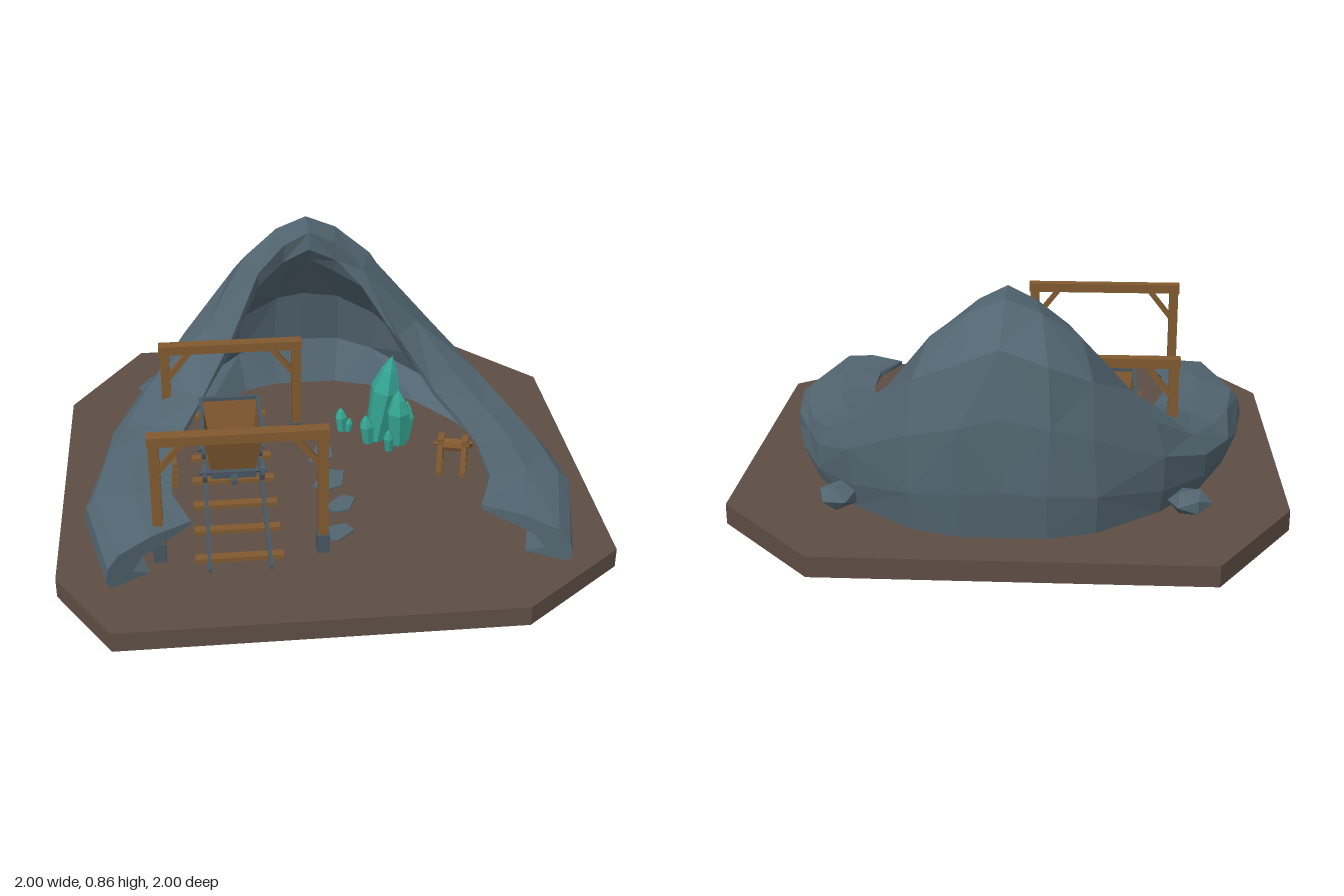
import * as THREE from 'three';

const mat = (name, color, side = THREE.FrontSide) => {
  const m = new THREE.MeshStandardMaterial({ color, flatShading: true, side });
  m.name = name;
  return m;
};

export function createModel() {
  const earth = mat('earth', 0x5e4e44);
  const rock = mat('rock', 0x526570, THREE.DoubleSide);
  const wood = mat('wood', 0x80592f, THREE.DoubleSide);
  const metal = mat('metal', 0x475661);
  const crystal = mat('crystal', 0x35a593);

  const root = new THREE.Group();
  root.name = 'mineDiorama';
  const G = 0.075; // ground level

  let seed = 7;
  const rnd = () => ((seed = (seed * 16807) % 2147483647) / 2147483647) - 0.5;

  const group = (name, parent = root) => {
    const g = new THREE.Group();
    g.name = name;
    parent.add(g);
    return g;
  };
  const add = (name, geo, material, parent = root, x = 0, y = 0, z = 0) => {
    const m = new THREE.Mesh(geo, material);
    m.name = name;
    m.position.set(x, y, z);
    parent.add(m);
    return m;
  };
  const box = (name, w, h, d, x, y, z, material, parent) =>
    add(name, new THREE.BoxGeometry(w, h, d), material, parent, x, y, z);
  // square bar between two points
  const bar = (name, a, b, t, material, parent) => {
    const p = new THREE.Vector3(...a), q = new THREE.Vector3(...b);
    const m = box(name, t, p.distanceTo(q), t, 0, 0, 0, material, parent);
    m.position.copy(p).add(q).multiplyScalar(0.5);
    m.quaternion.setFromUnitVectors(new THREE.Vector3(0, 1, 0), q.sub(p).normalize());
    return m;
  };
  // flat slab from an [x, z] outline
  const slab = (pts, depth) => {
    const shape = new THREE.Shape(pts.map(([x, z]) => new THREE.Vector2(x, -z)));
    return new THREE.ExtrudeGeometry(shape, { depth, bevelEnabled: false }).rotateX(-Math.PI / 2);
  };

  // Ground slab
  add('ground', slab([[-0.72, -1], [0.64, -1], [1, -0.6], [1, 0.7], [0.62, 1], [-0.8, 1], [-1, 0.68], [-1, -0.55]], G), earth);

  // Cave wall: an overhanging section swept round a horseshoe
  // section: [0 = lip .. 1 = outside, height fraction]
  const section = [[0.95, 0], [1, 0.22], [0.97, 0.54], [0.84, 0.82], [0.45, 1], [0, 1],
    [0, 0.9], [0.12, 0.82], [0.58, 0.54], [0.7, 0.22], [0.5, 0]];
  // half of the stations: [outer x, z, lip x, z, top y]
  const half = [
    [0.15, -0.845, 0.1, -0.465, 0.81], [0.32, -0.79, 0.21, -0.42, 0.71], [0.55, -0.6, 0.34, -0.28, 0.47],
    [0.71, -0.37, 0.46, -0.13, 0.31], [0.81, -0.12, 0.54, 0.02, 0.255], [0.87, 0.1, 0.58, 0.2, 0.24],
    [0.91, 0.36, 0.585, 0.42, 0.235], [0.82, 0.76, 0.52, 0.59, 0.225]];
  const stations = [
    ...half.map(([a, b, c, d, y]) => [-a, b, -c, d, y]).reverse(),
    [0, -0.845, 0, -0.465, 0.86], ...half];
  const rows = stations.map(([ox, oz, ix, iz, top], i) => section.map(([u, v], j) => {
    const edge = i === 0 || i === stations.length - 1 || v === 0 || v === 1 || u === 1;
    const k = edge ? 0 : 0.028;
    return [ix + (ox - ix) * u + rnd() * k, G + (top - G) * v + rnd() * k * 0.6, iz + (oz - iz) * u + rnd() * k];
  }));
  const pos = [];
  for (let i = 0; i < rows.length - 1; i++) {
    for (let j = 0; j < section.length - 1; j++) {
      const a = rows[i][j], b = rows[i + 1][j], c = rows[i + 1][j + 1], d = rows[i][j + 1];
      if ((i + j) % 2) pos.push(...a, ...d, ...c, ...a, ...c, ...b);
      else pos.push(...a, ...d, ...b, ...d, ...c, ...b);
    }
  }
  const caps = THREE.ShapeUtils.triangulateShape(section.map(([u, v]) => new THREE.Vector2(u, v)), []);
  for (const row of [rows[0], rows[rows.length - 1]]) {
    for (const f of caps) for (const k of f) pos.push(...row[k]);
  }
  const wallGeo = new THREE.BufferGeometry();
  wallGeo.setAttribute('position', new THREE.Float32BufferAttribute(pos, 3));
  wallGeo.computeVertexNormals();
  add('caveWall', wallGeo, rock);

  // Boulders behind the wall
  for (const [x, z, r] of [[-0.645, -0.585, 0.4], [0.595, -0.595, 1.5]]) {
    const b = add('boulder', new THREE.IcosahedronGeometry(0.08, 0), rock, root, x, 0.118, z);
    b.scale.set(1, 0.58, 0.95);
    b.rotation.y = r;
  }

  // Flat stepping stones
  const stone = slab([[-0.06, 0.035], [-0.035, -0.01], [0.01, -0.065], [0.06, -0.045], [0.04, 0.04], [-0.01, 0.06]], 0.007);
  for (const [x, z, r, s] of [[0, -0.045, 0.25, 1], [0.015, 0.145, 0.05, 1.15], [0.04, 0.315, -0.15, 0.95], [0, 0.495, -0.6, 1]]) {
    const m = add('steppingStone', stone, rock, root, x, G, z);
    m.rotation.y = r;
    m.scale.set(s, 1, s);
  }

  // Track
  const track = group('track');
  for (const z of [-0.39, -0.22, -0.055, 0.11, 0.28, 0.445, 0.62]) box('sleeper', 0.315, 0.016, 0.034, -0.353, G + 0.008, z, wood, track);
  for (const x of [-0.46, -0.245]) box('rail', 0.014, 0.018, 1.13, x, 0.1, 0.155, metal, track);

  // Timber frames
  const frame = (x0, x1, z, top, over) => {
    const g = group('timberFrame');
    const mid = (x0 + x1) / 2, under = top - 0.036;
    box('crossBeam', x1 - x0 + over, 0.036, 0.045, mid, top - 0.018, z, wood, g);
    for (const [x, s] of [[x0, 1], [x1, -1]]) {
      box('post', 0.036, under - G, 0.04, x, (under + G) / 2, z, wood, g);
      box('postFoot', 0.046, 0.075, 0.05, x, G + 0.0375, z, metal, g);
      bar('brace', [x + s * 0.01, under - 0.11, z], [x + s * 0.1, under + 0.004, z], 0.02, wood, g);
    }
  };
  frame(-0.635, -0.052, 0.592, 0.585, 0.045);
  frame(-0.597, -0.08, -0.202, 0.52, 0.045);

  // Mine cart
  const cart = group('mineCart');
  cart.position.set(-0.352, 0, 0.065);
  const body = add('cartBody', new THREE.CylinderGeometry(Math.SQRT1_2, Math.SQRT1_2 * 0.75, 0.15, 4, 1, true, Math.PI / 4), wood, cart, 0, 0.252, 0);
  body.scale.set(0.222, 1, 0.325);
  box('cartFloor', 0.168, 0.012, 0.244, 0, 0.183, 0, wood, cart);
  for (const s of [-1, 1]) {
    box('cartRim', 0.016, 0.014, 0.34, s * 0.112, 0.328, 0, metal, cart);
    box('cartRim', 0.24, 0.014, 0.016, 0, 0.328, s * 0.163, metal, cart);
    box('chassisBeam', 0.022, 0.028, 0.28, s * 0.075, 0.164, 0, metal, cart);
    box('chassisEnd', 0.17, 0.028, 0.022, 0, 0.164, s * 0.13, metal, cart);
    box('coupler', 0.024, 0.018, 0.05, 0, 0.16, s * 0.165, metal, cart);
    const axle = add('axle', new THREE.CylinderGeometry(0.01, 0.01, 0.26, 6), metal, cart, 0, 0.147, s * 0.085);
    axle.rotation.z = Math.PI / 2;
    for (const t of [-1, 1]) {
      const w = add('wheel', new THREE.CylinderGeometry(0.04, 0.04, 0.018, 10), metal, cart, t * 0.11, 0.147, s * 0.085);
      w.rotation.z = Math.PI / 2;
    }
  }

  // Slatted crate
  const crate = group('crate');
  crate.position.set(-0.632, G, 0.09);
  crate.rotation.y = 0.08;
  box('crateCore', 0.11, 0.108, 0.1, 0, 0.055, 0, wood, crate);
  for (let i = 0; i < 4; i++) box('crateSlat', 0.126, 0.022, 0.116, 0, 0.013 + i * 0.029, 0, wood, crate);

  // Hand winch
  const winch = group('winch');
  winch.position.set(0.505, G, 0.108);
  winch.rotation.y = -0.28;
  for (const s of [-1, 1]) {
    const x = s * 0.046;
    box('winchFoot', 0.024, 0.016, 0.11, x, 0.008, 0, wood, winch);
    for (const t of [-1, 1]) bar('winchLeg', [x, 0.005, t * 0.045], [x, 0.135, t * 0.012], 0.02, wood, winch);
    box('winchCap', 0.024, 0.02, 0.06, x, 0.135, 0, wood, winch);
  }
  const drum = add('winchDrum', new THREE.CylinderGeometry(0.026, 0.026, 0.085, 8), wood, winch, 0, 0.112, 0);
  const axle = add('winchAxle', new THREE.CylinderGeometry(0.008, 0.008, 0.15, 6), wood, winch, 0, 0.112, 0);
  drum.rotation.z = axle.rotation.z = Math.PI / 2;
  bar('winchCrank', [0.072, 0.112, 0], [0.072, 0.145, 0.03], 0.01, wood, winch);

  // Crystals: [x, z, radius, height, tilt about z, tilt about x]
  const crystals = group('crystals');
  for (const [x, z, r, h, rz, rx] of [
    [0.24, -0.165, 0.062, 0.38, -0.16, 0.02], [0.325, -0.115, 0.05, 0.25, 0.02, 0.05],
    [0.345, -0.14, 0.038, 0.17, -0.12, -0.08], [0.28, -0.06, 0.022, 0.1, 0.05, 0.1], [0.205, -0.13, 0.03, 0.13, 0.1, 0.05],
    [0.11, -0.235, 0.026, 0.105, 0.06, 0], [0.135, -0.225, 0.016, 0.06, -0.1, 0], [-0.62, 0.44, 0.02, 0.055, 0, 0]]) {
    const profile = [[0, -0.02], [r * 0.72, -0.02], [r, h * 0.6], [r * 0.55, h * 0.83], [0, h]].map(p => new THREE.Vector2(...p));
    const m = add('crystal', new THREE.LatheGeometry(profile, 6), crystal, crystals, x, G, z);
    m.rotation.set(rx, 0, rz);
  }
  return root;
}
